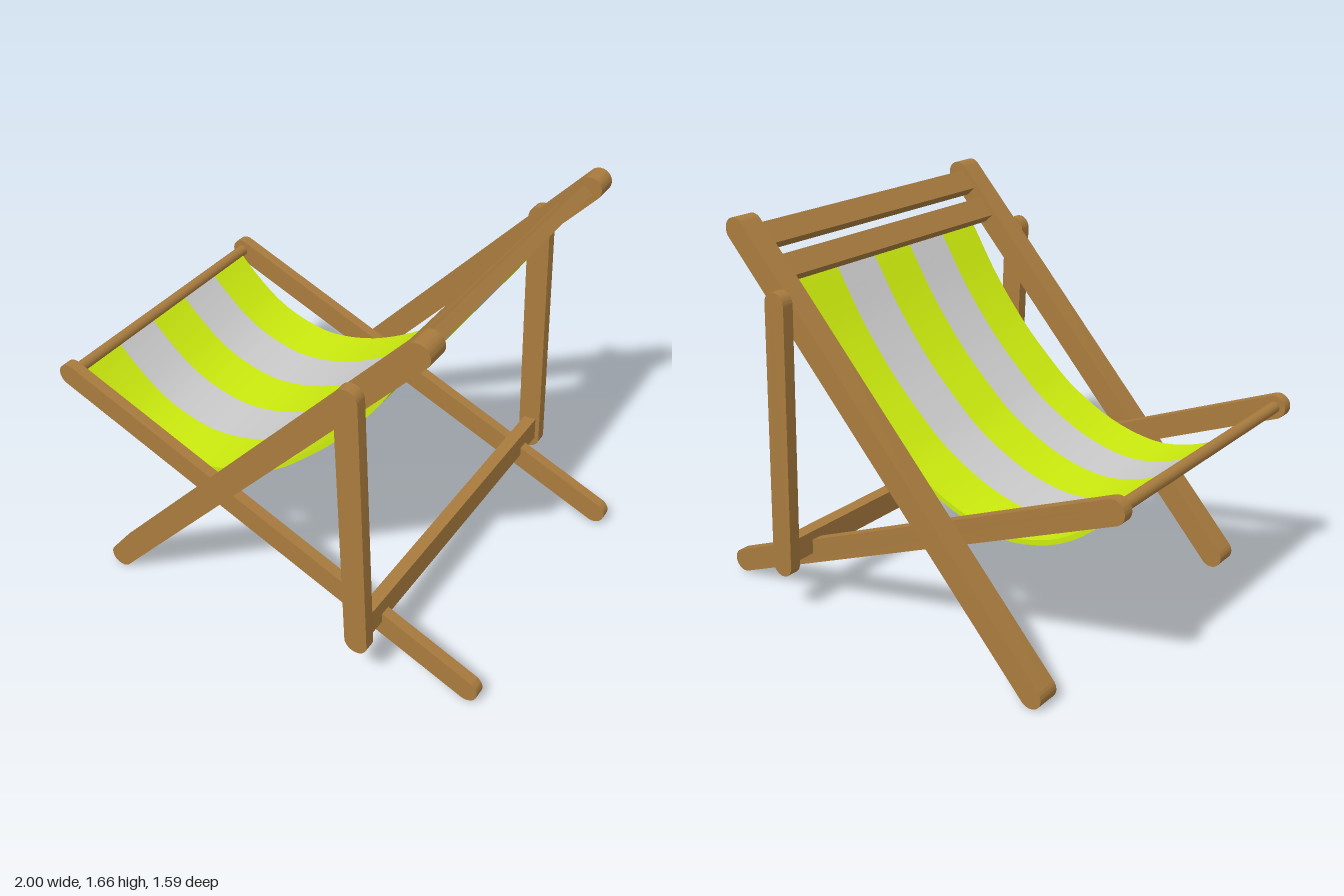
import * as THREE from 'three';
import { toCreasedNormals } from 'three/addons/utils/BufferGeometryUtils.js';

const wood = new THREE.MeshStandardMaterial({ color: 0xa87b3e });
const green = new THREE.MeshStandardMaterial({ color: 0xcceb0e });
const grey = new THREE.MeshStandardMaterial({ color: 0xcccccc });

// Extrudes a side-on outline from z0 to z1, keeping its curves smooth
function extrudeZ(shape, z0, z1) {
  const geo = new THREE.ExtrudeGeometry(shape, { depth: z1 - z0, bevelEnabled: false, curveSegments: 12 });
  geo.translate(0, 0, z0);
  return toCreasedNormals(geo, 0.6);
}

// Flat plank with rounded ends between two points in the xy plane
function plank(name, [ax, ay], [bx, by], z0, z1, r = 0.05) {
  const a = Math.atan2(by - ay, bx - ax), q = Math.PI / 2;
  const shape = new THREE.Shape();
  shape.absarc(bx, by, r, a - q, a + q, false);
  shape.absarc(ax, ay, r, a + q, a + 3 * q, false);
  shape.closePath();
  const mesh = new THREE.Mesh(extrudeZ(shape, z0, z1), wood);
  mesh.name = name;
  return mesh;
}

// Rectangular bar running across the chair, tilted in the xy plane
function crossBar(name, x, y, length, thickness, width, angle) {
  const mesh = new THREE.Mesh(new THREE.BoxGeometry(length, thickness, width), wood);
  mesh.position.set(x, y, 0);
  mesh.rotation.z = angle;
  mesh.name = name;
  return mesh;
}

export function createModel() {
  const chair = new THREE.Group();
  chair.name = 'deckChair';

  // Side frames, mirrored across z
  const backFoot = [-0.68, 0.05], backTop = [0.74, 1.606];
  for (const s of [1, -1]) {
    const span = (a, b) => (s > 0 ? [a, b] : [-b, -a]);
    const side = s > 0 ? 'front' : 'rear';
    chair.add(
      plank(side + 'BackRail', backFoot, backTop, ...span(0.643, 0.745)),
      plank(side + 'SeatRail', [-0.95, 0.845], [0.95, 0.06], ...span(0.595, 0.643)),
      plank(side + 'Strut', [0.495, 1.36], [0.543, 0.23], ...span(0.745, 0.796))
    );
  }

  // Bars joining the sides
  const lean = Math.atan2(backTop[1] - backFoot[1], backTop[0] - backFoot[0]);
  chair.add(
    crossBar('topBar', 0.699, 1.565, 0.1, 0.052, 1.29, lean),
    crossBar('fabricBar', 0.596, 1.452, 0.1, 0.052, 1.29, lean),
    crossBar('strutBar', 0.543, 0.283, 0.104, 0.056, 1.49, Math.PI / 2 + 0.042)
  );
  const rod = new THREE.Mesh(new THREE.CylinderGeometry(0.025, 0.025, 1.2, 20), wood);
  rod.rotation.x = Math.PI / 2;
  rod.position.set(-0.95, 0.845, 0);
  rod.name = 'seatRod';
  chair.add(rod);

  // Sling: a hanging curve given a thin thickness
  const curve = new THREE.SplineCurve([
    [-0.94, 0.835], [-0.87, 0.762], [-0.74, 0.655], [-0.6, 0.59], [-0.42, 0.56], [-0.2, 0.605],
    [0.02, 0.716], [0.17, 0.84], [0.315, 0.985], [0.465, 1.175], [0.59, 1.375], [0.632, 1.44]
  ].map(p => new THREE.Vector2(...p)));
  const upper = [], lower = [], n = 36, half = 0.01;
  for (let i = 0; i <= n; i++) {
    const p = curve.getPointAt(i / n), t = curve.getTangentAt(i / n);
    upper.push(new THREE.Vector2(p.x - t.y * half, p.y + t.x * half));
    lower.push(new THREE.Vector2(p.x + t.y * half, p.y - t.x * half));
  }
  const profile = new THREE.Shape([...lower, ...upper.reverse()]);

  // Five alternating fabric stripes
  const sling = new THREE.Group();
  sling.name = 'sling';
  const stripe = 1.13 / 5;
  for (let i = 0; i < 5; i++) {
    const z0 = -0.565 + i * stripe;
    const mesh = new THREE.Mesh(extrudeZ(profile, z0, z0 + stripe), i % 2 ? grey : green);
    mesh.name = 'fabricStripe' + (i + 1);
    sling.add(mesh);
  }
  chair.add(sling);
  return chair;
}
